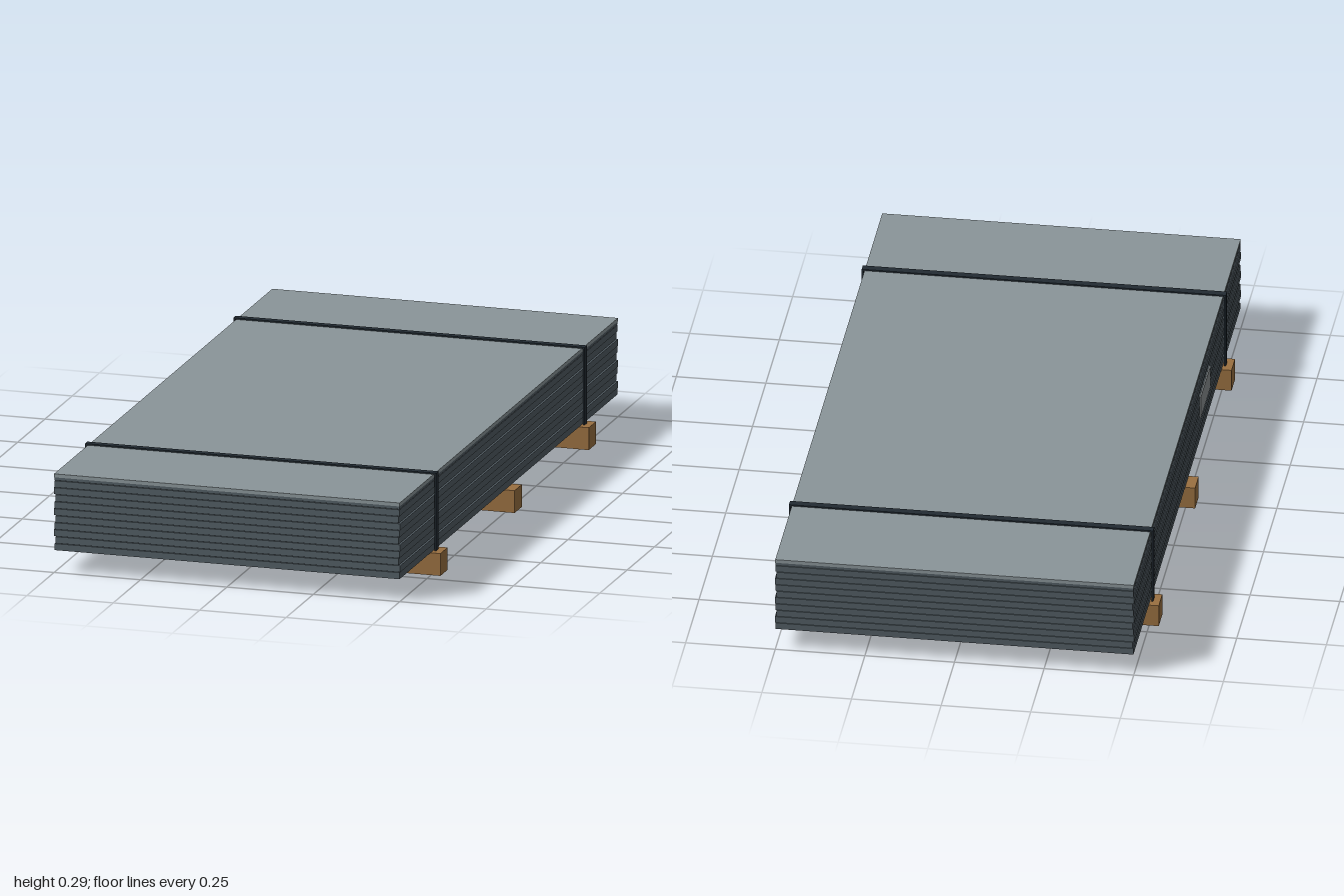
import * as THREE from 'three';

const material = (name, color) => {
  const m = new THREE.MeshStandardMaterial({ color });
  m.name = name;
  return m;
};

export function createModel() {
  const model = new THREE.Group();
  model.name = 'sheetStack';

  const timber = material('timber', 0x9a7041);
  const steel = material('dark steel', 0x525d64);
  const topSteel = material('light steel', 0x8a9599);
  const strapping = material('strapping', 0x222b33);
  const label = material('label grey', 0x8a9092);

  const box = (name, mat, size, pos, parent = model) => {
    const mesh = new THREE.Mesh(new THREE.BoxGeometry(...size), mat);
    mesh.name = name;
    mesh.position.set(...pos);
    parent.add(mesh);
    return mesh;
  };

  // Timber bearers under the stack
  const bearerHeight = 0.064;
  for (const z of [-0.68, 0, 0.68]) {
    box('bearer', timber, [1.054, bearerHeight, 0.066], [0, bearerHeight / 2, z]);
  }

  // Slightly shifted sheets with narrow gaps; the top one is lighter
  const count = 11, pitch = 0.02, thickness = 0.0185;
  const sheets = new THREE.Group();
  sheets.name = 'sheets';
  model.add(sheets);
  for (let i = 0; i < count; i++) {
    const top = i === count - 1;
    const shift = top ? 0 : 0.0025 * Math.sin(i * 2.1);
    const y = bearerHeight + i * pitch + thickness / 2;
    if (top) {
      // Dark core with a light face sheet
      box('topSheetCore', steel, [0.998, 0.0085, 1.998], [0, y - 0.005, 0], sheets);
      box('topSheet', topSteel, [1, 0.01, 2], [0, y + 0.00425, 0], sheets);
    } else {
      box('sheet', steel, [0.998, thickness, 1.998], [shift, y, 0], sheets);
    }
  }

  // Straps wrapped over the top and down both sides
  const stackTop = bearerHeight + (count - 1) * pitch + thickness;
  const strapTop = stackTop + 0.004;
  for (const z of [-0.68, 0.68]) {
    const strap = new THREE.Group();
    strap.name = 'strap';
    strap.position.z = z;
    model.add(strap);
    box('strapTop', strapping, [1.016, 0.005, 0.022], [0, strapTop - 0.0025, 0], strap);
    for (const side of [-1, 1]) {
      box('strapSide', strapping, [0.005, strapTop - bearerHeight, 0.022],
        [side * 0.5055, (strapTop + bearerHeight) / 2, 0], strap);
    }
  }

  // Blank tag on the right side
  box('tag', label, [0.004, 0.066, 0.18], [-0.505, 0.184, 0.3]);

  return model;
}
